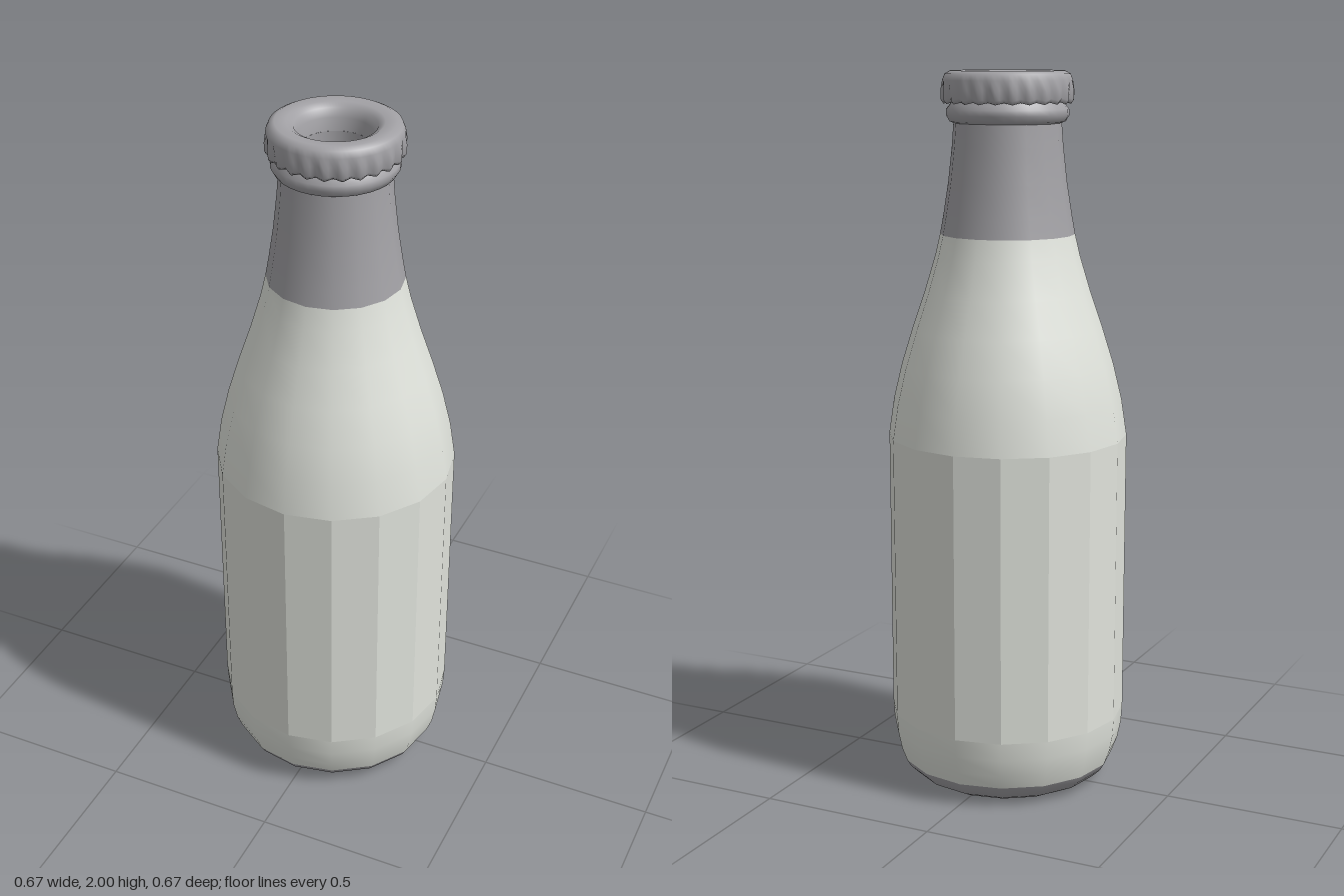
import * as THREE from 'three';
import { mergeVertices } from 'three/addons/utils/BufferGeometryUtils.js';

const milk = new THREE.MeshStandardMaterial({ color: 0xe0e3dc });
milk.name = 'milk white';
const glass = new THREE.MeshStandardMaterial({ color: 0xa3a2a6 });
glass.name = 'grey glass';

const SIDES = 16;

// Surface of revolution from [radius, height] pairs, running upwards on the outside
function turned(name, profile, material, sides = SIDES) {
  const points = profile.map(([r, y]) => new THREE.Vector2(r, y));
  const mesh = new THREE.Mesh(new THREE.LatheGeometry(points, sides), material);
  mesh.name = name;
  return mesh;
}

// Closing disc, facing up or down
function disc(name, radius, y, facing, material, sides = SIDES) {
  const geometry = new THREE.CircleGeometry(radius, sides);
  geometry.rotateX(-facing * Math.PI / 2);
  const mesh = new THREE.Mesh(geometry, material);
  mesh.name = name;
  mesh.position.y = y;
  return mesh;
}

export function createModel() {
  const bottle = new THREE.Group();
  bottle.name = 'milkBottle';

  // Clear glass base
  bottle.add(disc('baseFloor', 0.235, 0, -1, glass));
  bottle.add(turned('baseRim', [[0.235, 0], [0.27, 0.018], [0.293, 0.04], [0.305, 0.06]], glass));

  // Milk-filled body: rounded foot, faceted wall, smooth shoulder
  bottle.add(turned('foot', [[0.305, 0.06], [0.32, 0.1], [0.33, 0.15], [0.333, 0.2]], milk));
  const wall = turned('bodyWall', [[0.333, 0.2], [0.334, 1.0]], milk);
  wall.geometry = wall.geometry.toNonIndexed();
  wall.geometry.computeVertexNormals();
  bottle.add(wall);
  bottle.add(turned('shoulder', [
    [0.334, 1.0], [0.319, 1.1], [0.295, 1.2], [0.264, 1.3],
    [0.23, 1.4], [0.2, 1.5], [0.186, 1.56],
  ], milk));

  // Empty glass neck
  bottle.add(turned('neck', [
    [0.186, 1.56], [0.177, 1.61], [0.163, 1.7], [0.152, 1.8], [0.147, 1.87],
  ], glass));

  // Rounded collar ring under the lip
  bottle.add(turned('collar', [
    [0.145, 1.86], [0.158, 1.865], [0.168, 1.882], [0.167, 1.898], [0.157, 1.91], [0.15, 1.925],
  ], glass, 32));

  // Lip with a crimped lower edge, rolling over into the mouth
  const lip = turned('lip', [
    [0.148, 1.92], [0.17, 1.915], [0.177, 1.925], [0.178, 1.95], [0.177, 1.975],
    [0.17, 1.992], [0.155, 2.0], [0.125, 1.998], [0.107, 1.988], [0.097, 1.965], [0.092, 1.93],
  ], glass, 96);
  const position = lip.geometry.attributes.position;
  for (let i = 0; i < position.count; i++) {
    const x = position.getX(i), y = position.getY(i), z = position.getZ(i);
    if (Math.hypot(x, z) < 0.16 || y > 1.96) continue;
    const wave = Math.cos(24 * Math.atan2(x, z));
    const scale = 1 + 0.022 * wave;
    position.setXYZ(i, x * scale, y - 0.003 * wave, z * scale);
  }
  lip.geometry.deleteAttribute('uv');
  lip.geometry.deleteAttribute('normal');
  lip.geometry = mergeVertices(lip.geometry);
  lip.geometry.computeVertexNormals();
  bottle.add(lip);

  // Inside of the neck and the milk level
  bottle.add(turned('mouthWall', [[0.092, 1.93], [0.092, 1.8], [0.1, 1.56]], glass, 24));
  bottle.add(disc('milkSurface', 0.1, 1.565, 1, milk, 24));

  return bottle;
}
